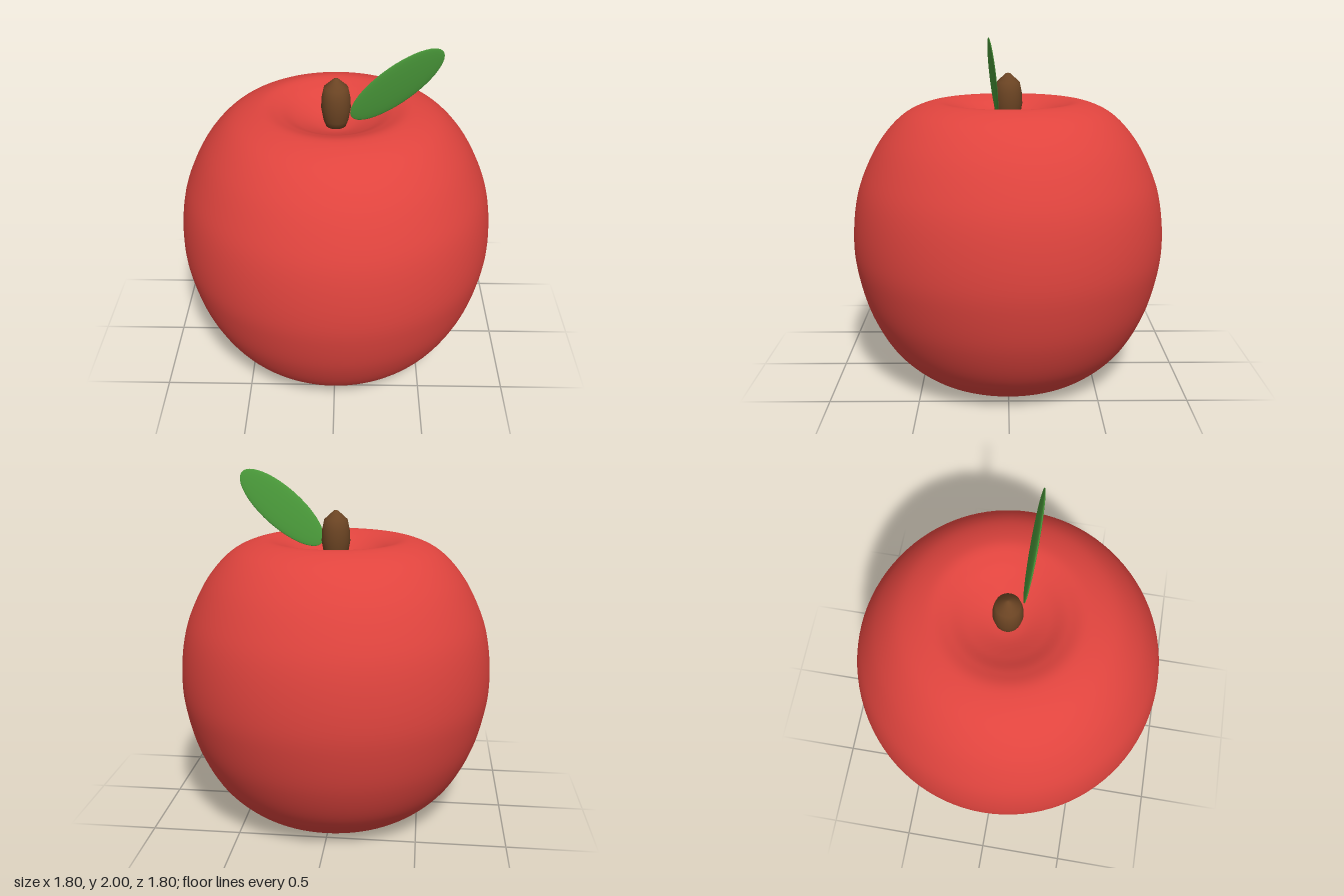
import * as THREE from 'three';

const material = (name, color) => {
  const m = new THREE.MeshStandardMaterial({ color });
  m.name = name;
  return m;
};

// Smooth solid of revolution through a few [radius, height] points, bottom to top
function turned(points, steps, sides) {
  const curve = new THREE.SplineCurve(points.map(([r, y]) => new THREE.Vector2(r, y)));
  const profile = curve.getPoints(steps);
  profile.forEach((p) => { p.x = Math.max(p.x, 0); });
  return new THREE.LatheGeometry(profile, sides);
}

function addMesh(group, name, geometry, mat) {
  const mesh = new THREE.Mesh(geometry, mat);
  mesh.name = name;
  group.add(mesh);
  return mesh;
}

export function createModel() {
  const group = new THREE.Group();
  group.name = 'apple';
  const red = material('apple red', 0xe0443e);
  const brown = material('stem brown', 0x6b4423);
  const green = material('leaf green', 0x4a9a3a);

  // Fruit with a dimple at each end
  addMesh(group, 'fruit', turned([
    [0, 0.12], [0.1, 0.108], [0.23, 0.05], [0.38, 0.001], [0.53, 0.045], [0.7, 0.2],
    [0.82, 0.42], [0.885, 0.66], [0.9, 0.85], [0.878, 1.06], [0.825, 1.23], [0.725, 1.415],
    [0.59, 1.555], [0.43, 1.62], [0.32, 1.602], [0.22, 1.555], [0.1, 1.51], [0, 1.5],
  ], 120, 96), red);

  // Stubby stem with a blunt pointed top
  const stem = [[0, 1.48], [0.055, 1.5], [0.07, 1.54], [0.082, 1.61], [0.079, 1.67], [0.067, 1.73], [0.012, 1.78], [0, 1.782]];
  addMesh(group, 'stem', new THREE.LatheGeometry(stem.map(([r, y]) => new THREE.Vector2(r, y)), 24), brown);

  // Thin oval leaf, leaning forward at its upper edge
  const leafGeometry = new THREE.SphereGeometry(1, 40, 24);
  leafGeometry.rotateZ(Math.PI / 2);
  leafGeometry.scale(0.307, 0.113, 0.012);
  leafGeometry.rotateX(0.2);
  leafGeometry.rotateY(-0.04);
  leafGeometry.rotateZ(Math.atan2(0.4, 0.465));
  leafGeometry.translate(0.322, 1.782, 0.082);
  addMesh(group, 'leaf', leafGeometry, green);

  return group;
}
